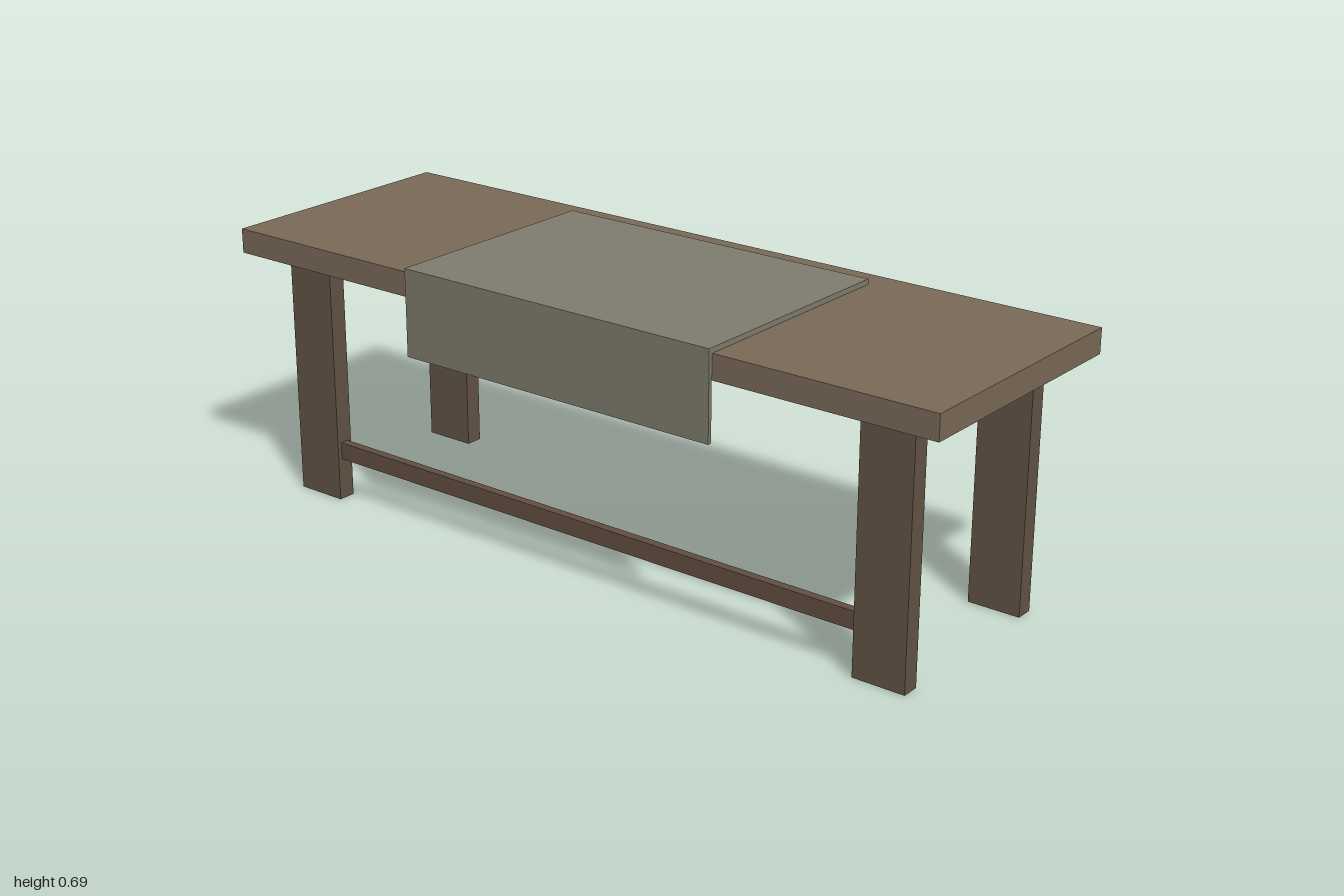
import * as THREE from 'three';

const wood = new THREE.MeshStandardMaterial({ color: 0x7a6a58 });
const darkWood = new THREE.MeshStandardMaterial({ color: 0x625446 });
const railWood = new THREE.MeshStandardMaterial({ color: 0x634f43 });
const cloth = new THREE.MeshStandardMaterial({ color: 0x7f7d6e });

// Box given by its extents along each axis
function slab(name, material, [x0, x1], [y0, y1], [z0, z1]) {
  const mesh = new THREE.Mesh(new THREE.BoxGeometry(x1 - x0, y1 - y0, z1 - z0), material);
  mesh.position.set((x0 + x1) / 2, (y0 + y1) / 2, (z0 + z1) / 2);
  mesh.name = name;
  return mesh;
}

export function createModel() {
  const table = new THREE.Group();
  table.name = 'table';

  // Table top
  table.add(slab('tableTop', wood, [-1, 1], [0.621, 0.682], [-0.333, 0.323]));

  // Four plank legs
  for (const [side, x] of [['Left', 0.838], ['Right', -0.838]]) {
    for (const [row, z] of [['front', 0.233], ['back', -0.242]]) {
      table.add(slab(`${row}${side}Leg`, darkWood,
        [x - 0.067, x + 0.067], [0, 0.621], [z - 0.0225, z + 0.0225]));
    }
  }

  // Stretcher between the front legs
  table.add(slab('frontStretcher', railWood, [-0.771, 0.771], [0.106, 0.15], [0.222, 0.244]));

  // Runner: one folded piece lying on the top and hanging over the front edge.
  // Profile is drawn as (z, y) and extruded across the width.
  const fold = new THREE.Shape([
    [-0.267, 0.682], [0.324, 0.682], [0.324, 0.478],
    [0.334, 0.478], [0.334, 0.695], [-0.267, 0.695],
  ].map(([z, y]) => new THREE.Vector2(-z, y)));
  const runnerGeometry = new THREE.ExtrudeGeometry(fold, { depth: 0.88, bevelEnabled: false });
  runnerGeometry.translate(0, 0, -0.44).rotateY(Math.PI / 2);
  const runner = new THREE.Mesh(runnerGeometry, cloth);
  runner.name = 'clothRunner';
  table.add(runner);

  return table;
}
